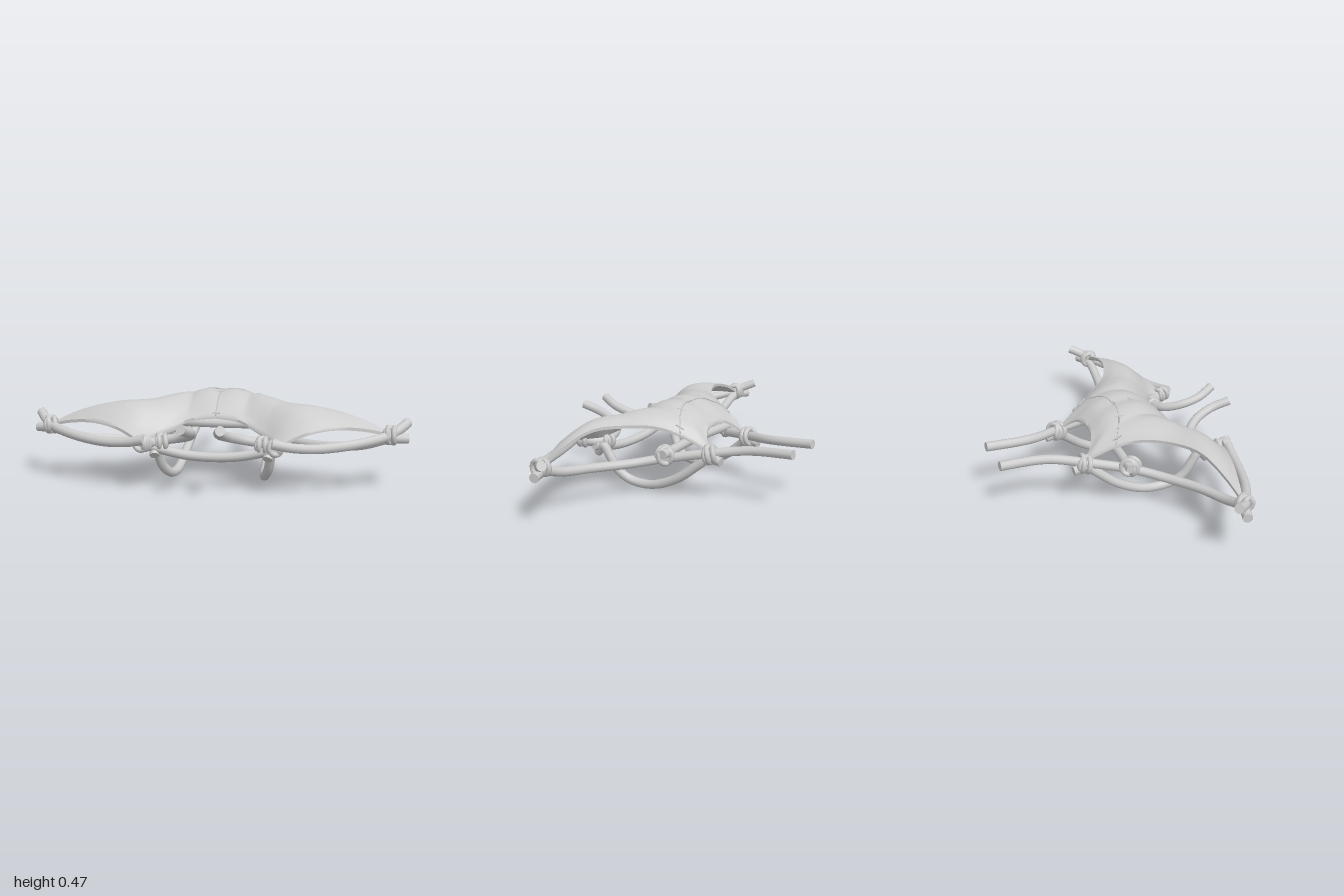
import * as THREE from 'three';
import { toCreasedNormals } from 'three/addons/utils/BufferGeometryUtils.js';

const grey = new THREE.MeshStandardMaterial({ color: 0xcccccc, side: THREE.DoubleSide });
const V = (p) => new THREE.Vector3(...p);
const curve = (...pts) => new THREE.CatmullRomCurve3(pts.map(V), false, 'centripetal');
const mirror = (pts) => pts.map(([x, y, z]) => [-x, y, z]);

// Boundary curves of the left half of the hide
const backEdge = curve([0, 0.37, -0.16], [0.08, 0.36, -0.17], [0.14, 0.32, -0.2], [0.18, 0.27, -0.25]);
const sideEdge = curve([0.18, 0.27, -0.25], [0.24, 0.35, -0.1], [0.31, 0.39, 0.02], [0.42, 0.4, 0.14],
  [0.57, 0.405, 0.21], [0.75, 0.36, 0.24], [0.9, 0.29, 0.26]);
const frontEdge = curve([0, 0.36, 0.27], [0.12, 0.345, 0.285], [0.23, 0.3, 0.34], [0.3, 0.27, 0.4], [0.335, 0.25, 0.49]);
const outerEdge = curve([0.9, 0.29, 0.26], [0.75, 0.325, 0.32], [0.6, 0.335, 0.38], [0.47, 0.31, 0.43], [0.335, 0.25, 0.49]);
const spine = curve([0, 0.37, -0.16], [0, 0.43, -0.08], [0, 0.46, 0.03], [0, 0.455, 0.12], [0, 0.42, 0.2], [0, 0.36, 0.27]);
const CORNER = 0.3;

// Point of the hide: u runs from the spine to the wing, v from back to front
function hidePoint(u, v) {
  const a = Math.abs(u);
  const back = a < CORNER ? backEdge.getPoint(a / CORNER) : sideEdge.getPoint((a - CORNER) / (1 - CORNER));
  const p = back.multiplyScalar(1 - v).addScaledVector(frontEdge.getPoint(a), v)
    .addScaledVector(spine.getPoint(v), 1 - a).addScaledVector(outerEdge.getPoint(v), a)
    .addScaledVector(spine.getPoint(0), -(1 - a) * (1 - v)).addScaledVector(spine.getPoint(1), -(1 - a) * v)
    .addScaledVector(outerEdge.getPoint(0), -a * (1 - v)).addScaledVector(outerEdge.getPoint(1), -a * v);
  p.y += 0.055 * Math.sin(Math.PI * v) * Math.max(0, 1 - Math.abs(a - CORNER) / CORNER);
  if (u < 0) p.x = -p.x;
  return p;
}

// Thick sheet made of closed front-to-back loops
function makeHide() {
  const N = 80, M = 28, T = 0.016, ring = 2 * (M + 1);
  const pos = [], idx = [], top = [];
  for (let i = 0; i <= N; i++) {
    const u = (2 * i) / N - 1;
    for (let k = 0; k < ring; k++) {
      const upper = k <= M;
      const p = hidePoint(u, (upper ? k : ring - 1 - k) / M);
      if (upper) top.push(p);
      pos.push(p.x, p.y - (upper ? 0 : T), p.z);
    }
  }
  const quad = (a, b, c, d) => idx.push(a, b, c, a, c, d);
  for (let i = 0; i < N; i++) {
    for (let k = 0; k < ring; k++) {
      const a = i * ring + k, b = i * ring + ((k + 1) % ring);
      quad(a, b, b + ring, a + ring);
    }
  }
  for (let k = 0; k < M; k++) {
    const e = N * ring, o = ring - 1;
    quad(k, o - k, o - k - 1, k + 1);
    quad(e + k, e + k + 1, e + o - k - 1, e + o - k);
  }
  const geo = new THREE.BufferGeometry();
  geo.setAttribute('position', new THREE.Float32BufferAttribute(pos, 3));
  geo.setIndex(idx);
  return { geo: toCreasedNormals(geo, 0.9), top };
}

// Round rod along a path, capped at both ends
function rod(name, pts, r = 0.025, segments = 48, sides = 10) {
  const g = new THREE.Group();
  g.name = name;
  const path = curve(...pts);
  g.add(new THREE.Mesh(new THREE.TubeGeometry(path, segments, r, sides), grey));
  for (const t of [0, 1]) {
    const cap = new THREE.Mesh(new THREE.CircleGeometry(r, sides), grey);
    const p = path.getPoint(t), d = path.getTangent(t).multiplyScalar(t ? 1 : -1);
    cap.position.copy(p);
    cap.lookAt(p.add(d));
    g.add(cap);
  }
  return g;
}

// Lashing: two turns of cord side by side and one crossing over them
function knot(name, at, dir, r = 0.036) {
  const g = new THREE.Group();
  g.name = name;
  for (const [offset, tilt] of [[-0.016, 0.2], [0.016, 0.2], [0, -0.75]]) {
    const turn = new THREE.Mesh(new THREE.TorusGeometry(r, 0.014, 8, 20), grey);
    turn.position.z = offset;
    turn.rotation.y = tilt;
    g.add(turn);
  }
  g.position.copy(V(at));
  g.lookAt(V(at).add(V(dir)));
  return g;
}

export function createModel() {
  const model = new THREE.Group();
  const { geo, top } = makeHide();
  const hide = new THREE.Mesh(geo, grey);
  hide.name = 'hideCanopy';
  model.add(hide);

  // Stitched seams lying on the hide
  const onHide = (x, z) => {
    let best = top[0], d = Infinity;
    for (const p of top) {
      const e = (p.x - x) ** 2 + (p.z - z) ** 2;
      if (e < d) { d = e; best = p; }
    }
    return [x, best.y + 0.001, z];
  };
  const arcZ = (x) => -0.1 * (x / 0.24) ** 2;
  const spineSeam = [], arcSeam = [];
  for (let i = 0; i <= 10; i++) {
    spineSeam.push(spine.getPoint(0.45 + 0.055 * i).toArray());
    const x = -0.24 + 0.048 * i;
    arcSeam.push(onHide(x, arcZ(x)));
  }
  model.add(rod('spineSeam', spineSeam, 0.003, 30, 5), rod('crossSeam', arcSeam, 0.003, 40, 5));
  for (const z of [0.01, 0.1, 0.26]) {
    model.add(rod('spineStitch', [onHide(-0.018, z), onHide(0.018, z)], 0.004, 4, 5));
  }
  for (const x of [-0.22, -0.12, 0.12, 0.22]) {
    const s = Math.sign(x) * 0.008, z = arcZ(x);
    model.add(rod('crossStitch', [onHide(x - s, z - 0.02), onHide(x + s, z + 0.02)], 0.004, 4, 5));
  }

  // Crossbars
  model.add(rod('frontCrossbar', [[-0.33, 0.22, 0.41], [-0.26, 0.2, 0.4], [-0.13, 0.175, 0.4], [0, 0.168, 0.4],
    [0.13, 0.175, 0.4], [0.26, 0.2, 0.4], [0.33, 0.22, 0.41]]));
  model.add(rod('rearCrossbar', [[-0.35, 0.26, -0.065], [0, 0.26, -0.04], [0.35, 0.26, -0.065]]));

  // Paired rods and lashings
  const rods = {
    wingRod: [[0.98, 0.335, 0.175], [0.93, 0.305, 0.24], [0.87, 0.28, 0.29], [0.72, 0.255, 0.385],
      [0.54, 0.242, 0.46], [0.42, 0.25, 0.495], [0.32, 0.27, 0.52]],
    sideRod: [[0.98, 0.262, 0.23], [0.89, 0.265, 0.26], [0.75, 0.225, 0.25], [0.58, 0.205, 0.2], [0.42, 0.2, 0.1],
      [0.3, 0.22, -0.03], [0.19, 0.26, -0.25], [0.12, 0.285, -0.41], [0.105, 0.295, -0.5], [0.105, 0.312, -0.69]],
    handle: [[0.095, 0.36, 0.68], [0.07, 0.325, 0.58], [0.095, 0.29, 0.47], [0.16, 0.262, 0.395],
      [0.25, 0.245, 0.38], [0.31, 0.235, 0.42], [0.335, 0.235, 0.49]],
    skid: [[0.29, 0.17, 0.42], [0.3, 0.22, 0.37], [0.295, 0.17, 0.335], [0.28, 0.09, 0.29], [0.255, 0.04, 0.23],
      [0.24, 0.026, 0.14], [0.235, 0.045, 0.04], [0.225, 0.11, -0.09], [0.205, 0.19, -0.19],
      [0.19, 0.235, -0.25], [0.19, 0.225, -0.32]],
  };
  const knots = {
    wingKnot: [[0.895, 0.285, 0.265], [0.9, 0, 0.25], 0.038],
    rearKnot: [[0.19, 0.255, -0.255], [-0.3, 0.15, -0.8], 0.042],
    sideKnot: [[0.3, 0.242, -0.045], [0.5, 0.05, -0.6], 0.042],
    handleKnot: [[0.26, 0.235, 0.385], [1, 0, 0.15], 0.036],
    cornerKnot: [[0.335, 0.245, 0.485], [0.25, 0.1, 1], 0.032],
  };
  for (const side of [1, -1]) {
    const label = side > 0 ? 'left ' : 'right ';
    const flip = (pts) => (side > 0 ? pts : mirror(pts));
    for (const [name, pts] of Object.entries(rods)) model.add(rod(label + name, flip(pts)));
    for (const [name, [at, dir, r]] of Object.entries(knots)) model.add(knot(label + name, ...flip([at, dir]), r));
  }
  return model;
}
